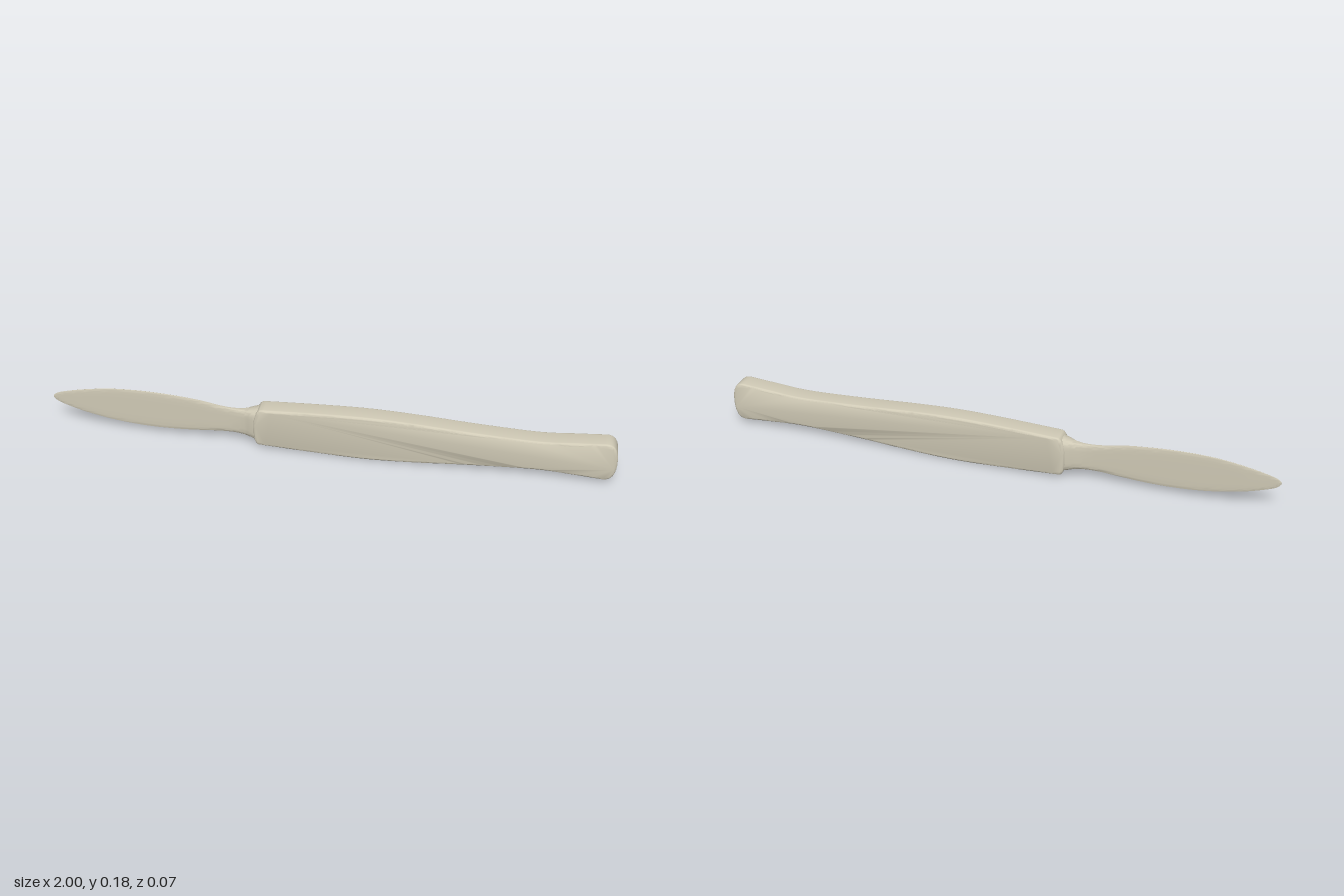
import * as THREE from 'three';
import { toCreasedNormals } from 'three/addons/utils/BufferGeometryUtils.js';

const steel = new THREE.MeshStandardMaterial({ color: 0xd0cab6 });
steel.name = 'warm steel';

// Flat waisted grip with softly rounded edges
function makeHandle() {
  const v = (x, y) => new THREE.Vector2(x, y);
  const shape = new THREE.Shape();
  shape.moveTo(-0.245, 0.018);
  shape.splineThru([v(-0.05, 0.008), v(0.13, 0.002), v(0.3, 0.008), v(0.5, 0.022), v(0.72, 0.032), v(0.85, 0.026), v(0.955, 0.018)]);
  shape.bezierCurveTo(0.985, 0.018, 0.998, 0.045, 0.998, 0.09);
  shape.bezierCurveTo(0.998, 0.14, 0.985, 0.165, 0.955, 0.165);
  shape.splineThru([v(0.85, 0.157), v(0.72, 0.149), v(0.5, 0.158), v(0.3, 0.171), v(0.13, 0.177), v(-0.05, 0.173), v(-0.235, 0.165)]);
  shape.bezierCurveTo(-0.252, 0.163, -0.264, 0.13, -0.264, 0.09);
  shape.bezierCurveTo(-0.264, 0.05, -0.262, 0.02, -0.245, 0.018);
  const bevel = 0.009, half = 0.036;
  const geo = new THREE.ExtrudeGeometry(shape, {
    depth: 2 * (half - bevel), bevelThickness: bevel, bevelSize: bevel,
    bevelOffset: -bevel, bevelSegments: 4, curveSegments: 10,
  });
  geo.translate(0, 0, bevel - half);
  return new THREE.Mesh(toCreasedNormals(geo, 0.6), steel);
}

// Loft of rounded sections: thick neck flowing into a thin leaf
function makeBlade() {
  // x, bottom, top, half thickness
  const stations = [
    [-1.0, 0.115, 0.123, 0.001], [-0.985, 0.1, 0.134, 0.0015], [-0.95, 0.085, 0.145, 0.002],
    [-0.88, 0.063, 0.16, 0.003], [-0.79, 0.044, 0.173, 0.003], [-0.7, 0.033, 0.177, 0.0035],
    [-0.61, 0.029, 0.175, 0.004], [-0.52, 0.031, 0.168, 0.0045], [-0.45, 0.036, 0.159, 0.0055],
    [-0.39, 0.041, 0.147, 0.0065], [-0.34, 0.042, 0.142, 0.009], [-0.3, 0.039, 0.143, 0.016],
    [-0.27, 0.033, 0.15, 0.028], [-0.245, 0.027, 0.157, 0.034],
  ];
  const outline = new THREE.CatmullRomCurve3(stations.map(s => new THREE.Vector3(s[0], s[1], s[2])), false, 'catmullrom');
  const thickness = new THREE.CatmullRomCurve3(stations.map(s => new THREE.Vector3(s[0], s[3], 0)), false, 'catmullrom');
  const rings = 65, sides = 32, pos = [], idx = [];
  const round = c => Math.sign(c) * Math.sqrt(Math.abs(c));
  for (let i = 0; i <= rings; i++) {
    const p = outline.getPoint(i / rings), hz = thickness.getPoint(i / rings).y;
    for (let j = 0; j < sides; j++) {
      const a = (j / sides) * Math.PI * 2;
      pos.push(p.x, (p.y + p.z) / 2 + (p.z - p.y) / 2 * round(Math.cos(a)), hz * round(Math.sin(a)));
    }
  }
  for (let i = 0; i < rings; i++) for (let j = 0; j < sides; j++) {
    const k = (j + 1) % sides, a = i * sides + j, b = i * sides + k;
    idx.push(a, b, a + sides, b, b + sides, a + sides);
  }
  // Close both ends
  const last = rings * sides;
  for (let j = 1; j < sides - 1; j++) {
    idx.push(0, j + 1, j, last, last + j, last + j + 1);
  }
  const geo = new THREE.BufferGeometry();
  geo.setAttribute('position', new THREE.Float32BufferAttribute(pos, 3));
  geo.setIndex(idx);
  // Sections run from top towards +z, so check winding against the outward side
  const n = new THREE.Vector3(), tri = new THREE.Triangle();
  const at = q => new THREE.Vector3().fromArray(pos, q * 3);
  const m = (rings >> 1) * sides + sides / 4;
  tri.set(at(m), at(m + 1), at(m + sides)).getNormal(n);
  if (n.z < 0) geo.setIndex(idx.reverse());
  return new THREE.Mesh(toCreasedNormals(geo, 0.6), steel);
}

export function createModel() {
  const model = new THREE.Group();
  model.name = 'scalpel';
  const handle = makeHandle();
  handle.name = 'handle';
  const blade = makeBlade();
  blade.name = 'bladeAndNeck';
  model.add(handle, blade);
  return model;
}
